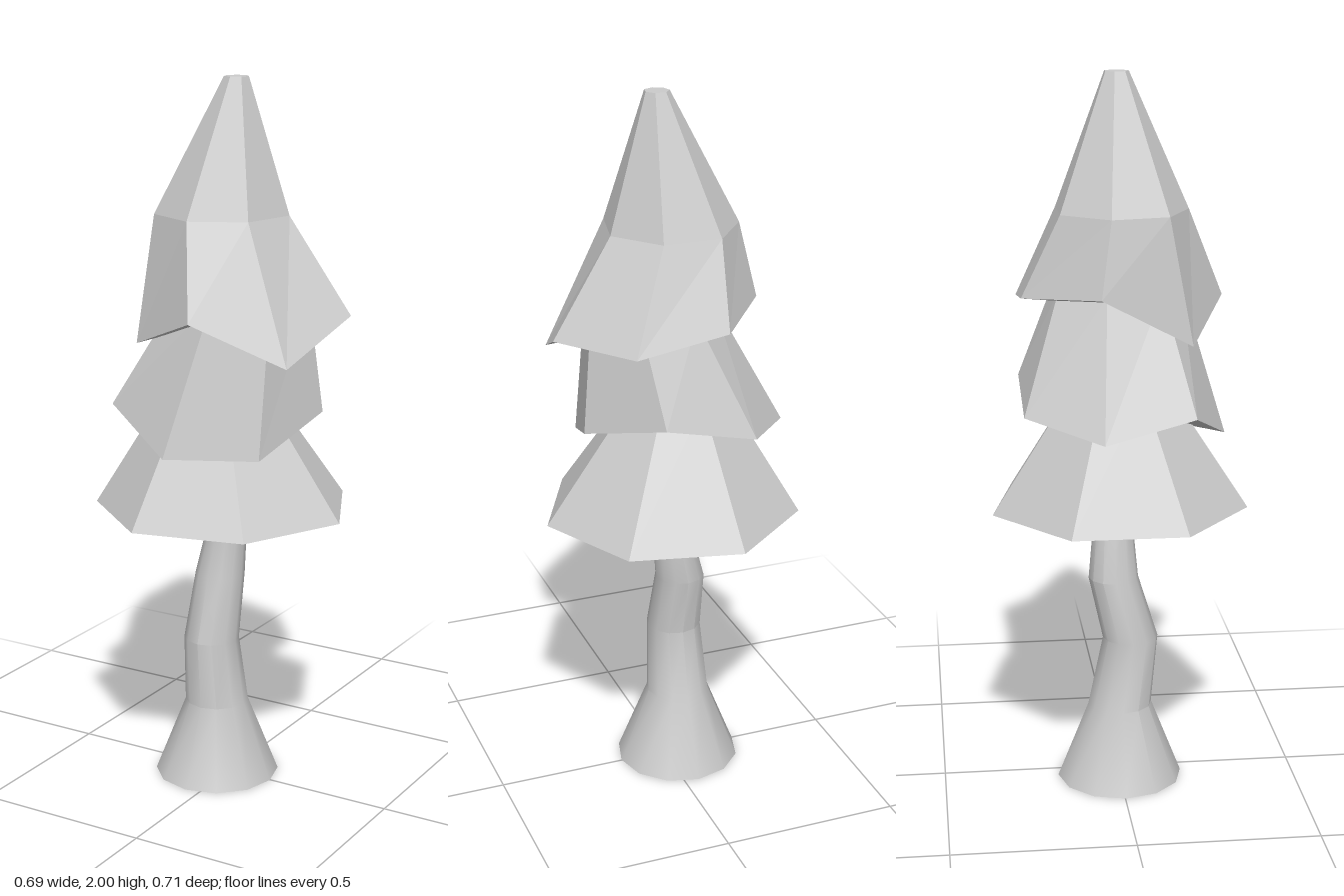
import * as THREE from 'three';
import { toCreasedNormals } from 'three/addons/utils/BufferGeometryUtils.js';

// Closed solid skinned over rings { x, z, r, y }; y is one height or one per corner.
function stack(rings, sides, start) {
  const loops = rings.map(({ x, z, r, y }) =>
    Array.from({ length: sides }, (_, k) => {
      const a = start + (k / sides) * Math.PI * 2;
      return new THREE.Vector3(x + r * Math.cos(a), Array.isArray(y) ? y[k] : y, z + r * Math.sin(a));
    }));
  const middle = (loop) =>
    loop.reduce((sum, p) => sum.add(p), new THREE.Vector3()).divideScalar(sides);
  const first = loops[0], last = loops[loops.length - 1];
  const low = middle(first), high = middle(last);
  const points = [];
  for (let k = 0; k < sides; k++) {
    const n = (k + 1) % sides;
    for (let i = 0; i < loops.length - 1; i++) {
      const a = loops[i][k], b = loops[i][n], c = loops[i + 1][k], d = loops[i + 1][n];
      points.push(a, c, b, b, c, d);
    }
    points.push(low, first[k], first[n], high, last[n], last[k]);
  }
  const geometry = new THREE.BufferGeometry().setFromPoints(points);
  geometry.computeVertexNormals();
  return geometry;
}

export function createModel() {
  const tree = new THREE.Group();
  tree.name = 'tree';
  const bark = new THREE.MeshStandardMaterial({ color: 0xcccccc });
  const leaves = new THREE.MeshStandardMaterial({ color: 0xcccccc, flatShading: true });

  const add = (name, geometry, material) => {
    const mesh = new THREE.Mesh(geometry, material);
    mesh.name = name;
    tree.add(mesh);
  };

  // Crooked trunk with a flared foot
  const trunk = stack([
    { x: -0.043, z: 0.002, r: 0.177, y: 0 },
    { x: -0.043, z: 0.003, r: 0.09, y: 0.22 },
    { x: -0.042, z: 0.033, r: 0.078, y: 0.42 },
    { x: -0.042, z: -0.015, r: 0.07, y: 0.6 },
    { x: -0.007, z: -0.013, r: 0.05, y: 0.81 },
    { x: 0, z: -0.013, r: 0.045, y: 0.88 },
  ], 12, 0);
  add('trunk', toCreasedNormals(trunk, 0.62), bark);

  // Three seven-sided foliage tiers; the upper two have ragged hems
  add('lowerFoliage', stack([
    { x: -0.018, z: 0, r: 0.363, y: 0.81 },
    { x: -0.037, z: 0, r: 0.13, y: 1.16 },
  ], 7, 0), leaves);

  add('middleFoliage', stack([
    { x: -0.035, z: 0, r: 0.297, y: [1.01, 1.11, 1.06, 1.1, 1.16, 1.1, 1.01] },
    { x: 0.047, z: 0, r: 0.18, y: 1.42 },
  ], 7, Math.PI / 2), leaves);

  add('topFoliage', stack([
    { x: 0.047, z: 0, r: 0.297, y: [1.385, 1.29, 1.43, 1.41, 1.37, 1.375, 1.27] },
    { x: -0.019, z: 0.006, r: 0.187, y: 1.635 },
    { x: 0.02, z: 0, r: 0.034, y: 2 },
  ], 7, Math.PI / 2), leaves);

  return tree;
}
